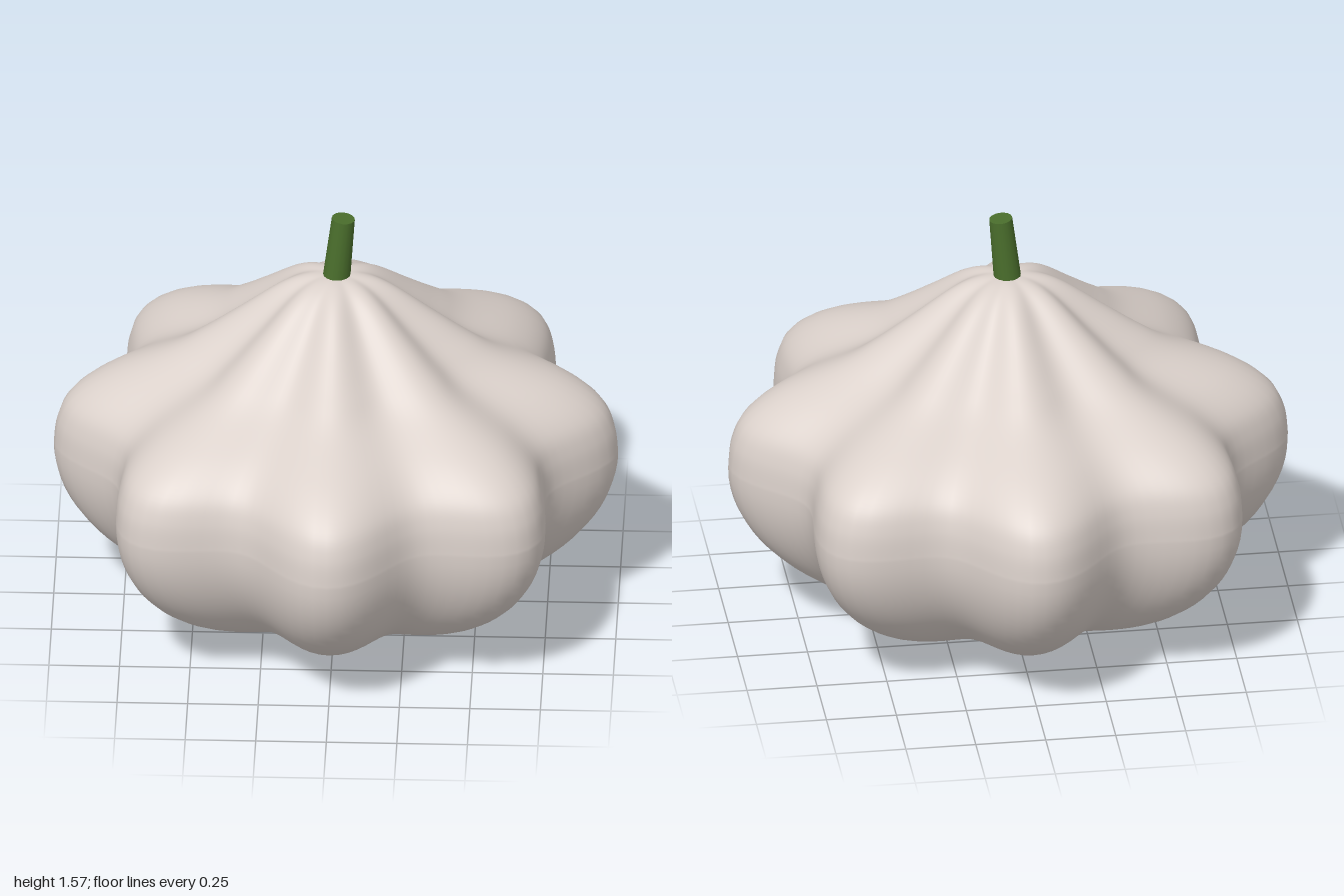
import * as THREE from 'three';
import { mergeVertices } from 'three/addons/utils/BufferGeometryUtils.js';

const LOBES = 8;

// Lobed bulb: a lathed profile whose radius swells and pinches around the axis
function makeBulbGeometry() {
  const profile = [];
  // Elliptical underside
  for (let i = 0; i < 24; i++) {
    const a = (i / 24) * Math.PI / 2;
    profile.push(new THREE.Vector2(Math.sin(a), 0.63 - 0.625 * Math.cos(a)));
  }
  // Shoulder and concave neck
  const upper = new THREE.SplineCurve([
    [1, 0.63], [0.987, 0.735], [0.94, 0.828], [0.82, 0.915], [0.6, 1.015],
    [0.48, 1.09], [0.355, 1.18], [0.2, 1.293], [0.1, 1.335], [0, 1.342],
  ].map(([x, y]) => new THREE.Vector2(x, y)));
  profile.push(...upper.getPoints(54));

  let geometry = new THREE.LatheGeometry(profile, 128);
  const p = geometry.attributes.position;
  for (let i = 0; i < p.count; i++) {
    const x = p.getX(i), z = p.getZ(i);
    const swell = 0.915 + 0.085 * Math.cos(LOBES * Math.atan2(z, x));
    p.setX(i, x * swell);
    p.setZ(i, z * swell);
  }
  // Weld the seam and poles so the shading is continuous
  geometry.deleteAttribute('normal');
  geometry.deleteAttribute('uv');
  geometry = mergeVertices(geometry, 1e-4);
  geometry.computeVertexNormals();
  return geometry;
}

export function createModel() {
  const skin = new THREE.MeshStandardMaterial({ color: 0xdbd1cb });
  skin.name = 'pale skin';
  const green = new THREE.MeshStandardMaterial({ color: 0x4a6e2c });
  green.name = 'stem green';

  const model = new THREE.Group();
  model.name = 'lobedSquash';

  const bulb = new THREE.Mesh(makeBulbGeometry(), skin);
  bulb.name = 'bulb';
  model.add(bulb);

  // Tapered stem leaning toward +x
  const stem = new THREE.Mesh(new THREE.CylinderGeometry(0.041, 0.05, 0.28, 16), green);
  stem.name = 'stem';
  stem.position.set(0.012, 1.43, 0);
  stem.rotation.z = -0.1;
  model.add(stem);

  return model;
}
